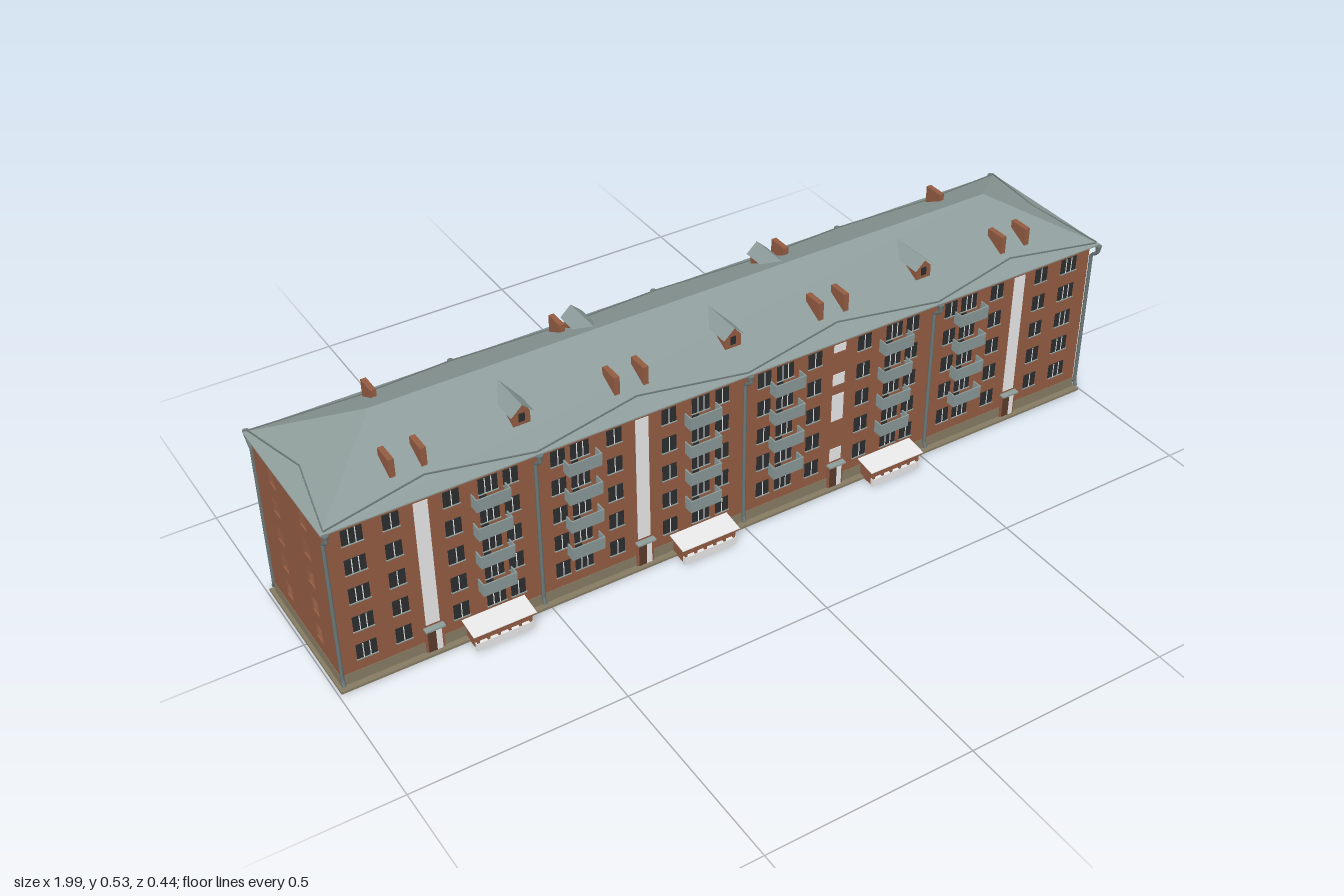
import * as THREE from 'three';

const mat = (name, color, side = THREE.FrontSide) => {
  const m = new THREE.MeshStandardMaterial({ color, side });
  m.name = name;
  return m;
};

export function createModel() {
  const root = new THREE.Group();
  root.name = 'apartmentBlock';
  const brick = mat('brick', 0x925b42);
  const sheet = mat('roofSheet', 0x8d9c9a, THREE.DoubleSide);
  const panel = mat('balconyPanel', 0x8a9a99);
  const khaki = mat('plinthPlaster', 0x857b62);
  const metal = mat('pipeMetal', 0x6c7877);
  const glass = mat('darkGlass', 0x2b2d2e);
  const white = mat('whitePaint', 0xf8f8f8);
  const floorMat = mat('floorBrown', 0x885742);
  const wood = mat('doorWood', 0x5a3a2a);

  const group = (name, parent = root) => {
    const g = new THREE.Group();
    g.name = name;
    parent.add(g);
    return g;
  };
  const add = (name, geo, m, parent = root) => {
    const mesh = new THREE.Mesh(geo, m);
    mesh.name = name;
    parent.add(mesh);
    return mesh;
  };
  const box = (name, m, w, h, d, x, y, z, parent) => {
    const b = add(name, new THREE.BoxGeometry(w, h, d), m, parent);
    b.position.set(x, y, z);
    return b;
  };
  const rect = (C, x0, y0, x1, y1) => {
    const s = new C();
    s.moveTo(x0, y0); s.lineTo(x1, y0); s.lineTo(x1, y1); s.lineTo(x0, y1);
    s.closePath();
    return s;
  };
  // thin bar between two points
  const bar = (name, a, b, t, parent) => {
    const mesh = box(name, metal, t, t, a.distanceTo(b), 0, 0, 0, parent);
    mesh.position.copy(a).lerp(b, 0.5);
    mesh.lookAt(b);
  };
  const V = (x, y, z) => new THREE.Vector3(x, y, z);

  const W = 0.985, ZF = 0.164, ZB = -0.182, ZM = (ZF + ZB) / 2, D = ZF - ZB;
  const rows = [0, 1, 2, 3, 4].map((i) => 0.0835 + i * 0.0755);
  const seams = [-0.515, 0, 0.515];
  const stairs = [-0.772, -0.257, 0.257, 0.772];

  // long walls
  box('frontWall', brick, 2 * W, 0.398, 0.01, 0, 0.232, ZF - 0.005);
  box('backWall', brick, 2 * W, 0.398, 0.01, 0, 0.232, ZB + 0.005);

  // end walls with open windows
  for (const s of [-1, 1]) {
    const shape = rect(THREE.Shape, -ZF, 0.033, -ZB, 0.431);
    for (const y of rows) for (const z of [0.069, -0.087]) {
      shape.holes.push(rect(THREE.Path, -z - 0.0175, y - 0.0205, -z + 0.0175, y + 0.0205));
    }
    const wall = add('endWall', new THREE.ExtrudeGeometry(shape, { depth: 0.004, bevelEnabled: false }), brick);
    wall.rotation.y = Math.PI / 2;
    wall.position.x = s > 0 ? W - 0.004 : -W;
  }

  // plinth, apron and floor
  const ring = (name, x, zf, zb, t, y, h) => {
    const shape = rect(THREE.Shape, -x, -zf, x, -zb);
    shape.holes.push(rect(THREE.Path, -x + t, -zf + t, x - t, -zb - t));
    const m = add(name, new THREE.ExtrudeGeometry(shape, { depth: h, bevelEnabled: false }), khaki);
    m.rotation.x = -Math.PI / 2;
    m.position.y = y;
  };
  ring('plinth', W + 0.001, ZF + 0.001, ZB - 0.001, 0.008, 0.003, 0.032);
  ring('apron', 0.994, 0.18, -0.2, 0.02, 0.002, 0.006);
  box('floor', floorMat, 2 * W - 0.01, 0.005, D - 0.01, 0, 0.0295, ZM);

  // hipped roof
  const RX = 0.993, EF = 0.188, EB = -0.206, EY = 0.432, RY = 0.535, RZ = -0.01, HX = 0.79;
  const roofGeo = new THREE.BufferGeometry();
  const A = [-RX, EY, EF], B = [RX, EY, EF], C = [RX, EY, EB], E = [-RX, EY, EB];
  const L = [-HX, RY, RZ], R = [HX, RY, RZ];
  const tris = [A, B, R, A, R, L, C, E, L, C, L, R, B, C, R, E, A, L];
  roofGeo.setAttribute('position', new THREE.Float32BufferAttribute(tris.flat(), 3));
  roofGeo.computeVertexNormals();
  add('roof', roofGeo, sheet);
  box('soffit', sheet, 2 * RX, 0.003, EF - EB, 0, EY - 0.0015, (EF + EB) / 2);

  // zigzag drainage ridges on the roof
  const ridges = group('drainageRidges');
  const slopeY = (z) => RY - (z > RZ ? (z - RZ) / (EF - RZ) : (RZ - z) / (RZ - EB)) * (RY - EY);
  const stops = [-0.985, ...seams, 0.985];
  for (const f of [1, -1]) {
    const zOut = f > 0 ? 0.183 : -0.201, zIn = zOut - f * 0.035;
    for (let i = 0; i < 4; i++) {
      const mid = V((stops[i] + stops[i + 1]) / 2, slopeY(zIn) + 0.001, zIn);
      for (const x of [stops[i], stops[i + 1]]) bar('ridge', V(x, slopeY(zOut) + 0.001, zOut), mid, 0.0028, ridges);
    }
    for (const s of [-1, 1]) bar('ridge', V(s * 0.985, 0.438, zOut), V(s * 0.948, 0.455, RZ), 0.0028, ridges);
  }

  // chimneys
  const chimney = (x, z) => box('chimney', brick, 0.013, 0.067, 0.05, x, 0.4715, z);
  for (const x of [-0.81, -0.74, -0.295, -0.225, 0.225, 0.293, 0.74, 0.81]) chimney(x, 0.107);
  for (const x of [-0.74, -0.295, 0.29, 0.74]) chimney(x, -0.125);

  // gabled dormers
  const dormer = (x, back) => {
    const g = group('dormer');
    const pent = new THREE.Shape([[-0.02, 0.455], [0.02, 0.455], [0.02, 0.495], [0, 0.513], [-0.02, 0.495]]
      .map((p) => new THREE.Vector2(...p)));
    const body = add('dormerBody', new THREE.ExtrudeGeometry(pent, { depth: 0.07, bevelEnabled: false }), brick, g);
    body.position.z = 0.052;
    box('dormerOpening', glass, 0.014, 0.02, 0.003, 0, 0.485, 0.122, g);
    // roof planes narrow to a point where they meet the main slope
    const geo = new THREE.BufferGeometry();
    geo.setAttribute('position', new THREE.Float32BufferAttribute([
      0, 0.519, 0.128, 0.027, 0.494, 0.128, 0.027, 0.494, 0.066, 0, 0.519, 0.128, 0.027, 0.494, 0.066, 0, 0.519, 0.018,
      0, 0.519, 0.128, -0.027, 0.494, 0.066, -0.027, 0.494, 0.128, 0, 0.519, 0.128, 0, 0.519, 0.018, -0.027, 0.494, 0.066], 3));
    geo.computeVertexNormals();
    add('dormerRoof', geo, sheet, g);
    g.position.set(x, 0, back ? -0.014 : 0);
    if (back) g.rotation.y = Math.PI;
  };
  seams.forEach((x) => dormer(x, false));
  [-0.25, 0.237].forEach((x) => dormer(x, true));

  // downpipes with hopper heads
  for (const x of stops) for (const f of [1, -1]) {
    const o = f > 0 ? 0 : -0.016;
    const g = group('downpipe');
    const pts = [[0.194, 0.428], [0.194, 0.414], [0.172, 0.398], [0.172, 0.03], [0.178, 0.018]];
    const path = new THREE.CurvePath();
    for (let i = 0; i < pts.length - 1; i++) {
      path.add(new THREE.LineCurve3(V(x, pts[i][1], f * pts[i][0] + o), V(x, pts[i + 1][1], f * pts[i + 1][0] + o)));
    }
    add('pipe', new THREE.TubeGeometry(path, 40, 0.0045, 6), metal, g);
    const head = add('hopperHead', new THREE.CylinderGeometry(0.008, 0.0045, 0.018, 8), metal, g);
    head.position.set(x, 0.423, f * 0.192 + o);
  }

  // windows: dark pane, thin white frame bars, sill
  const windowAt = (x, y, w, h, f, parent) => {
    const z = f > 0 ? ZF : ZB;
    const g = group('window', parent);
    box('pane', glass, w, h, 0.002, x, y, z + f * 0.0005, g);
    const n = w > 0.04 ? 3 : 2;
    for (let i = 1; i < n; i++) box('mullion', white, 0.002, h, 0.001, x - w / 2 + (w * i) / n, y, z + f * 0.002, g);
    box('sill', sheet, w + 0.003, 0.0018, 0.004, x, y - h / 2, z + f * 0.002, g);
  };
  // balcony: slab with slightly flared front and side panels
  const balcony = (x, y, f, parent) => {
    const z = f > 0 ? ZF : ZB;
    const g = group('balcony', parent);
    box('slab', panel, 0.078, 0.004, 0.022, x, y - 0.03, z + f * 0.011, g);
    const front = box('frontPanel', panel, 0.08, 0.033, 0.003, x, y - 0.0155, z + f * 0.0235, g);
    front.rotation.x = f * 0.06;
    for (const s of [-1, 1]) box('sidePanel', panel, 0.003, 0.032, 0.024, x + s * 0.0385, y - 0.0155, z + f * 0.012, g);
  };

  const wallBays = (name, f, plain, doors) => {
    const g = group(name);
    for (const s of [-1, 1]) rows.forEach((y, i) => {
      for (const [x, w] of plain) windowAt(s * x, y, w, 0.039, f, g);
      for (const x of doors) {
        windowAt(s * x, y, 0.044, 0.039, f, g);
        if (i > 0) {
          box('balconyDoor', glass, 0.016, 0.055, 0.002, s * x - 0.013, y - 0.008, (f > 0 ? ZF : ZB) + f * 0.0005, g);
          balcony(s * x, y - 0.011, f, g);
        }
      }
    });
  };
  wallBays('frontBays', 1,
    [[0.055, 0.034], [0.19, 0.036], [0.325, 0.036], [0.46, 0.034], [0.57, 0.034], [0.705, 0.036], [0.838, 0.036], [0.922, 0.046]],
    [0.11, 0.408, 0.622]);
  wallBays('backBays', -1,
    [[0.05, 0.032], [0.185, 0.034], [0.26, 0.034], [0.33, 0.034], [0.462, 0.032], [0.56, 0.032], [0.695, 0.034], [0.785, 0.034], [0.935, 0.034]],
    [0.115, 0.4, 0.62, 0.862]);

  // stairwell light strips with floor bars, and entrances
  stairs.forEach((x, i) => {
    const spans = i === 2 ? [[0.08, 0.115], [0.195, 0.268], [0.295, 0.325], [0.385, 0.405]] : [[0.08, 0.405]];
    for (const [a, b] of spans) box('stairStrip', white, 0.032, b - a, 0.003, x, (a + b) / 2, ZF);
    const g = group('entrance');
    box('entranceSurround', brick, 0.042, 0.066, 0.006, x, 0.036, ZF + 0.002, g);
    box('entranceDoor', wood, 0.019, 0.056, 0.003, x - 0.007, 0.034, ZF + 0.005, g);
    box('entranceSidelight', white, 0.013, 0.056, 0.003, x + 0.0095, 0.034, ZF + 0.005, g);
    box('entranceCanopy', sheet, 0.046, 0.004, 0.016, x, 0.072, ZF + 0.007, g);
  });

  // basement porches, hollow below, with sloping roofs
  for (const x of [-0.632, -0.116, 0.4]) {
    const g = group('basementPorch');
    for (const s of [-1, 1]) box('porchSideWall', brick, 0.006, 0.04, 0.04, x + s * 0.063, 0.023, 0.185, g);
    box('porchInnerWall', brick, 0.132, 0.04, 0.006, x, 0.023, 0.202, g);
    box('porchFrontWall', white, 0.136, 0.02, 0.008, x, 0.012, 0.212, g);
    const roof = group('porchRoof', g);
    box('roofDeck', brick, 0.148, 0.005, 0.055, 0, -0.003, 0, roof);
    box('roofCover', white, 0.15, 0.002, 0.057, 0, 0.0005, 0, roof);
    roof.position.set(x, 0.0495, 0.191);
    roof.rotation.x = 0.14;
    for (let i = 0; i < 6; i++) box('porchPost', brick, 0.006, 0.022, 0.005, x - 0.063 + i * 0.0252, 0.033, 0.212, g);
  }
  return root;
}
